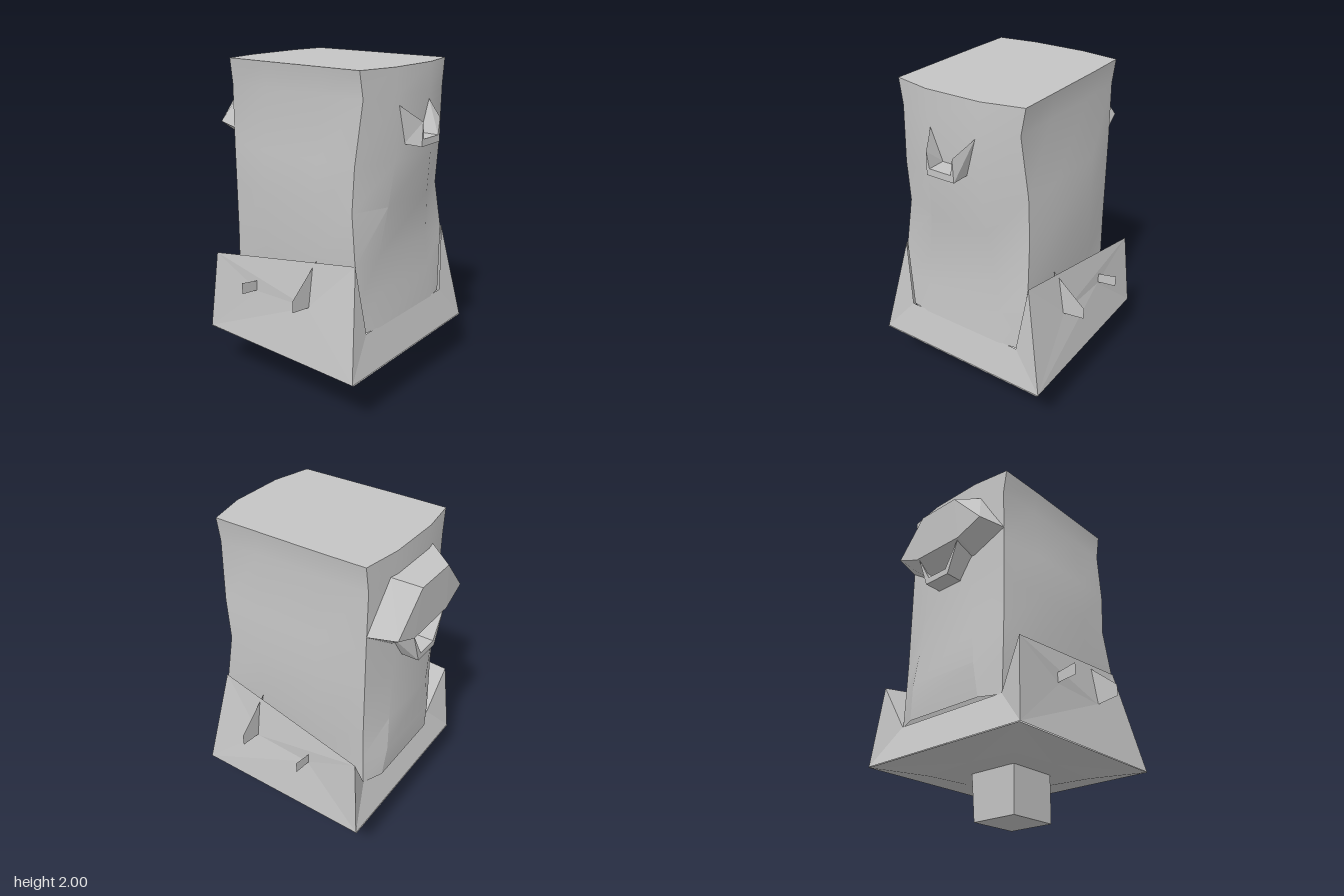
import * as THREE from 'three';
import { toCreasedNormals } from 'three/addons/utils/BufferGeometryUtils.js';
import { ConvexGeometry } from 'three/addons/geometries/ConvexGeometry.js';

const grey = new THREE.MeshStandardMaterial({ color: 0xc4c4c4, side: THREE.DoubleSide });
grey.name = 'stone grey';

// Faceted geometry from polygons, each a list of [x, y, z] corners
function facets(polygons) {
  const pos = [];
  for (const p of polygons)
    for (let i = 1; i < p.length - 1; i++) pos.push(...p[0], ...p[i], ...p[i + 1]);
  const g = new THREE.BufferGeometry();
  g.setAttribute('position', new THREE.Float32BufferAttribute(pos, 3));
  g.computeVertexNormals();
  return g;
}

// Polygons plus their mirror images across x = 0
const mirrored = (polygons) => [
  ...polygons,
  ...polygons.map((p) => p.map(([x, y, z]) => [-x, y, z]).reverse()),
];

function add(group, name, geometry) {
  const mesh = new THREE.Mesh(geometry, grey);
  mesh.name = name;
  group.add(mesh);
  return mesh;
}

// Tapered block: y, half width at front, side and back, then corner and middle depth front and back
function bodyGeometry() {
  const sections = [
    [0.535, 0.39, 0.4, 0.39, 0.505, 0.525, 0.495, 0.55],
    [0.74, 0.415, 0.42, 0.39, 0.49, 0.505, 0.49, 0.565],
    [0.95, 0.44, 0.44, 0.39, 0.475, 0.49, 0.485, 0.55],
    [1.24, 0.42, 0.44, 0.39, 0.435, 0.515, 0.485, 0.535],
    [1.5, 0.42, 0.435, 0.39, 0.45, 0.542, 0.485, 0.532],
    [1.85, 0.385, 0.39, 0.385, 0.475, 0.535, 0.485, 0.52],
    [2, 0.41, 0.41, 0.405, 0.47, 0.525, 0.48, 0.515],
  ];
  const rings = sections.map(([y, wf, ws, wb, fc, fm, bc, bm]) => {
    const flat = 0.42 + 0.3 * Math.max(0, 1.4 - y); // flat middle widens downwards
    const half = [
      [flat * wf, y, fm], [wf, y, fc], [ws, y, 0.2],
      [ws, y, -0.2], [wb, y, -bc], [flat * wb, y, -bm],
    ];
    return [...half, ...half.map(([x, h, z]) => [-x, h, z]).reverse()];
  });
  const faces = [rings[rings.length - 1]];
  for (let r = 0; r < rings.length - 1; r++) {
    const lo = rings[r], up = rings[r + 1];
    for (let i = 0; i < lo.length; i++) {
      const j = (i + 1) % lo.length;
      faces.push([lo[i], lo[j], up[j], up[i]]);
    }
  }
  return toCreasedNormals(facets(faces), 0.4);
}

// Flared skirt with raised side panels that stand off the body towards the back
function skirtGeometry() {
  const cf = [0.58, 0.315, 0.57], cb = [0.58, 0.32, -0.575];
  const bf = [0.39, 0.54, 0.52], bb = [0.39, 0.54, -0.5];
  const tf = [0.445, 0.955, 0.48], tb = [0.54, 0.82, -0.53];
  const df = [0.515, 0.65, 0.19], db = [0.53, 0.65, -0.19];
  const flip = ([x, y, z]) => [-x, y, z];
  return facets([
    [flip(cf), cf, bf, flip(bf)],
    [cb, flip(cb), flip(bb), bb],
    ...mirrored([
      [cf, tf, bf],
      [cf, df, tf],
      [cf, cb, db, df],
      [cb, tb, db],
      [tf, df, tb],
      [df, db, tb],
      [tf, tb, bb],
      [cb, bb, tb],
    ]),
  ]);
}

// Shallow underside, dipping towards an inner ring
function undersideGeometry() {
  const square = (w, y) => [[w, y, w], [w, y, -w], [-w, y, -w], [-w, y, w]];
  const outer = square(0.578, 0.315), ring = square(0.33, 0.27), core = square(0.15, 0.285);
  const faces = [];
  for (let i = 0; i < 4; i++) {
    const j = (i + 1) % 4;
    // notch the middle of each ring side upwards
    const mid = [(ring[i][0] + ring[j][0]) / 2, 0.285, (ring[i][2] + ring[j][2]) / 2];
    faces.push([outer[i], mid, outer[j]], [outer[i], ring[i], mid], [mid, ring[j], outer[j]]);
    faces.push([ring[i], core[i], mid], [mid, core[i], core[j]], [mid, core[j], ring[j]]);
  }
  return facets(faces.map((f) => f.reverse()));
}

// Open trough: flared side walls, floor and a low lip, reaching from z0 to z1
function scoopGeometry({ rim, rimTip, floor, z0, z1 }) {
  const [rx, ry] = rim, [tx, ty] = rimTip, [fx, fy] = floor;
  const lip = fy + 0.04, ix = fx - 0.02;
  return facets([
    [[-fx, fy, z1], [fx, fy, z1], [ix, lip, z1], [-ix, lip, z1]],
    [[-fx, fy, z0], [fx, fy, z0], [fx, fy, z1], [-fx, fy, z1]],
    [[-ix, lip, z1], [ix, lip, z1], [ix, lip, z0], [-ix, lip, z0]],
    ...mirrored([
      [[fx, fy, z1], [fx, fy, z0], [rx, ry, z0], [tx, ty, z1]],
      [[fx, fy, z1], [tx, ty, z1], [ix, lip, z1]],
      [[ix, lip, z1], [tx, ty, z1], [rx, ry, z0], [ix, lip, z0]],
    ]),
  ]);
}

// Hooded block on the back
function hoodGeometry() {
  const half = [
    [0.14, 1.82, -0.655], [0.345, 1.6, -0.645], [0.18, 1.53, -0.65],
    [0.22, 1.87, -0.51], [0.39, 1.59, -0.485], [0.2, 1.46, -0.53],
  ];
  const points = half.flatMap(([x, y, z]) => [
    new THREE.Vector3(x, y, z), new THREE.Vector3(-x, y, z),
  ]);
  return new ConvexGeometry(points);
}

export function createModel() {
  const model = new THREE.Group();
  model.name = 'model';

  add(model, 'body', bodyGeometry());
  add(model, 'skirt', skirtGeometry());
  add(model, 'underside', undersideGeometry());

  add(model, 'frontScoop', scoopGeometry({
    rim: [0.147, 1.8], rimTip: [0.085, 1.715], floor: [0.09, 1.58], z0: 0.535, z1: 0.65,
  }));
  add(model, 'backHood', hoodGeometry());
  add(model, 'backScoop', scoopGeometry({
    rim: [0.22, 1.52], rimTip: [0.17, 1.54], floor: [0.09, 1.325], z0: -0.525, z1: -0.64,
  }));

  // Post, slightly wider at its top on one side
  const post = new THREE.BoxGeometry(0.3, 0.3, 0.32).translate(-0.025, 0.15, 0);
  const p = post.attributes.position;
  for (let i = 0; i < p.count; i++)
    if (p.getX(i) > 0 && p.getY(i) > 0.1) p.setX(i, 0.15);
  add(model, 'post', post.toNonIndexed()).geometry.computeVertexNormals();

  // Thin fins on both sides: tall in front, low behind
  const fins = [
    ['FrontFin', 0.2, [[0.44, 0.92], [0.51, 0.86], [0.65, 0.74], [0.65, 0.67], [0.5, 0.65]]],
    ['BackFin', -0.2, [[0.5, 0.71], [0.65, 0.74], [0.65, 0.67], [0.5, 0.65]]],
  ];
  for (const [name, z, outline] of fins) {
    for (const side of ['left', 'right']) {
      const s = side === 'left' ? 1 : -1;
      const shape = new THREE.Shape(outline.map(([x, y]) => new THREE.Vector2(s * x, y)));
      add(model, side + name, new THREE.ShapeGeometry(shape)).position.z = z;
    }
  }
  return model;
}
